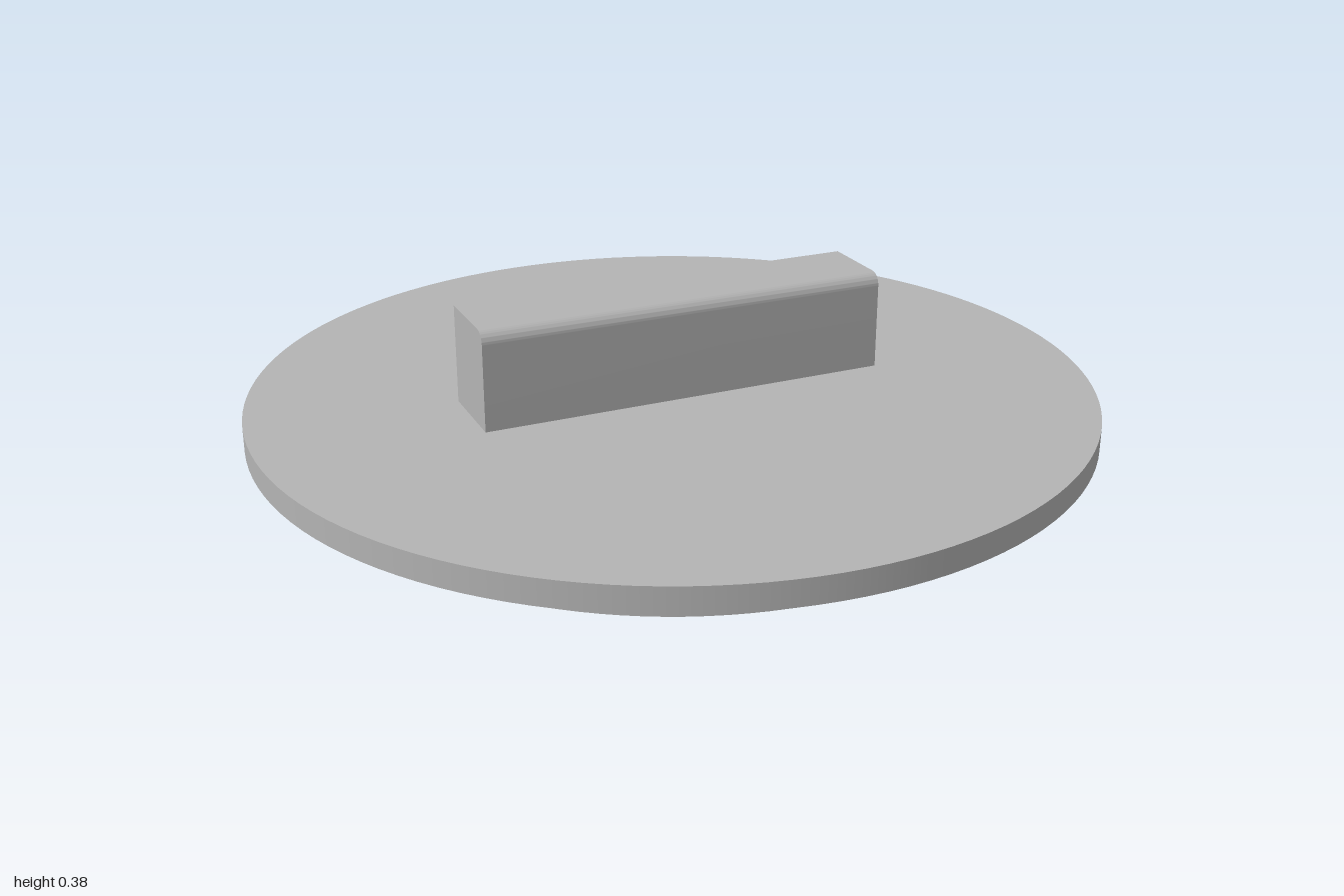
import * as THREE from 'three';
import { toCreasedNormals } from 'three/addons/utils/BufferGeometryUtils.js';

const PLUG_TOP = 0.088, RIM_TOP = 0.148, GRIP_TOP = 0.384;

export function createModel() {
  const group = new THREE.Group();
  group.name = 'lid';
  const grey = new THREE.MeshStandardMaterial({ color: 0xb4b4b4 });
  grey.name = 'grey';

  const add = (name, geometry) => {
    const mesh = new THREE.Mesh(geometry, grey);
    mesh.name = name;
    group.add(mesh);
  };
  const disc = (radius, bottom, top) =>
    new THREE.CylinderGeometry(radius, radius, top - bottom, 128).translate(0, (bottom + top) / 2, 0);

  // Stepped round lid: narrow plug below, wide rim above
  add('plug', disc(0.853, 0, PLUG_TOP));
  add('rim', disc(1, PLUG_TOP, RIM_TOP));

  // Grip bar: side profile with only the front top edge rounded
  const half = 0.1, fillet = 0.03, length = 1;
  const profile = new THREE.Shape();
  profile.moveTo(-half, RIM_TOP);
  profile.lineTo(half, RIM_TOP);
  profile.lineTo(half, GRIP_TOP - fillet);
  profile.absarc(half - fillet, GRIP_TOP - fillet, fillet, 0, Math.PI / 2, false);
  profile.lineTo(-half, GRIP_TOP);
  profile.closePath();
  const bar = new THREE.ExtrudeGeometry(profile, { depth: length, bevelEnabled: false, curveSegments: 16 });
  bar.rotateY(-Math.PI / 2).translate(length / 2, 0, 0);
  add('grip', toCreasedNormals(bar, 0.5));

  return group;
}
